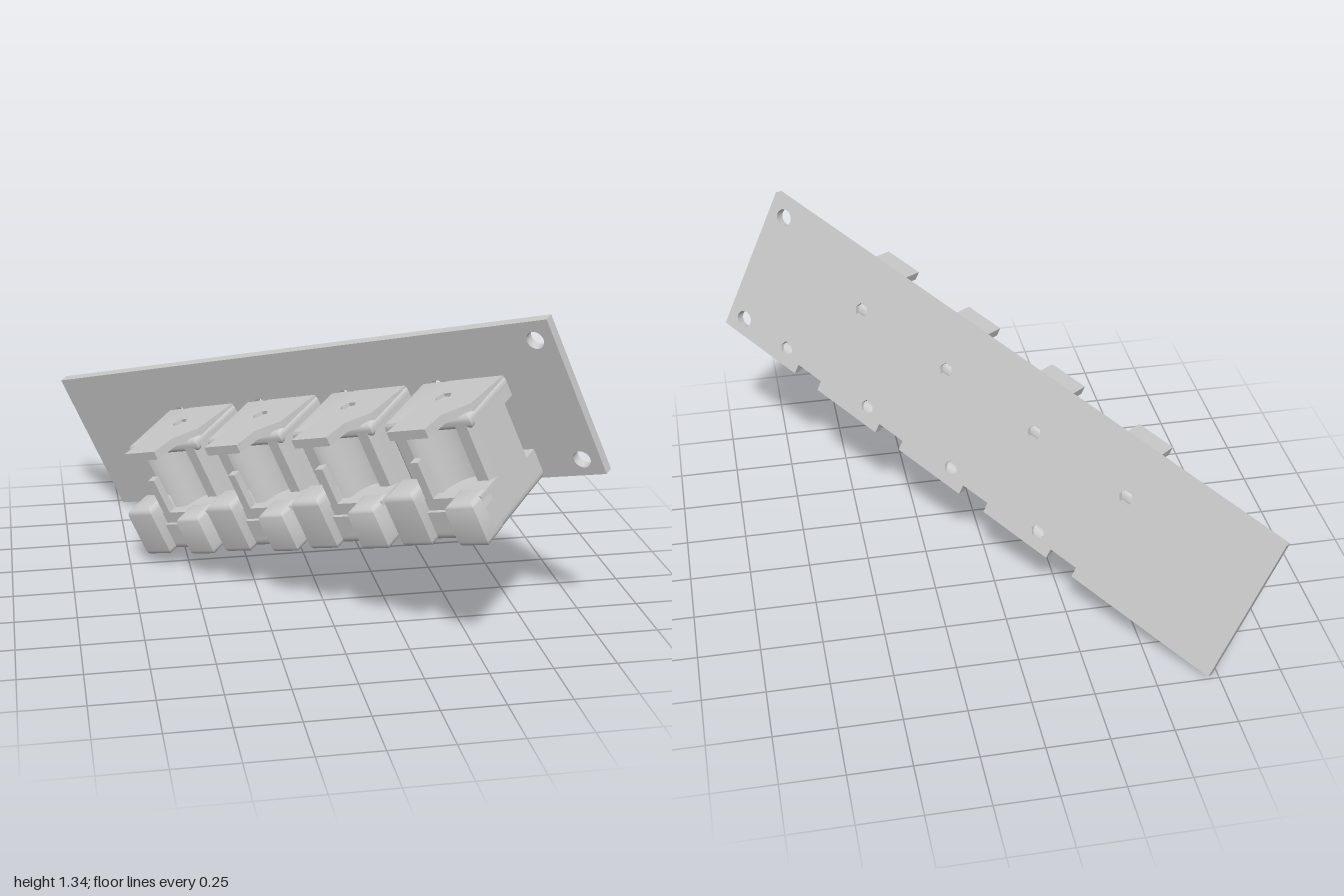
import * as THREE from 'three';
import { toCreasedNormals } from 'three/addons/utils/BufferGeometryUtils.js';

const material = new THREE.MeshStandardMaterial({ color: 0xcccccc });
const LENGTH = 2.6, WIDTH = 0.663, THICK = 0.038;
const LEFT = -0.187, RIGHT = 0.205, MID = 0.009; // holder sides and pocket centre
const POCKET_R = 0.14, POCKET_Z = 0.26;
const UNIT_CENTRES = [0, 1, 2, 3].map((i) => 0.745 + 0.46 * i);

function part(name, geometry) {
  const mesh = new THREE.Mesh(toCreasedNormals(geometry, 0.6), material);
  mesh.name = name;
  return mesh;
}

function ring(x, y, r, sides) {
  const pts = [];
  for (let i = 0; i < sides; i++) {
    const t = (i / sides) * Math.PI * 2;
    pts.push(new THREE.Vector2(x + r * Math.cos(t), y + r * Math.sin(t)));
  }
  return new THREE.Path(pts);
}

// Plan outline (across, outward) raised from height y0 to y1, optionally sloping up outward
function prism(name, outline, y0, y1, { holes = [], bevel = 0, slope = 0 } = {}) {
  const shape = new THREE.Shape(outline.map(([x, z]) => new THREE.Vector2(x, -z)));
  shape.holes.push(...holes);
  const geometry = new THREE.ExtrudeGeometry(shape, {
    depth: y1 - y0 - 2 * bevel, bevelEnabled: bevel > 0,
    bevelSize: bevel, bevelOffset: -bevel, bevelThickness: bevel, bevelSegments: 4,
  });
  geometry.rotateX(-Math.PI / 2).translate(0, y0 + bevel, 0);
  geometry.applyMatrix4(new THREE.Matrix4().set(1, 0, 0, 0, 0, 1, slope, 0, 0, 0, 1, 0, 0, 0, 0, 1));
  return part(name, geometry);
}

const rect = (x0, x1, z0, z1) => [[x0, z0], [x1, z0], [x1, z1], [x0, z1]];

// Outline open to the front, with a round pocket between two side walls
function openWalls(back, front) {
  const pts = [[LEFT, back], [RIGHT, back], [RIGHT, front - 0.025], [RIGHT - 0.025, front]];
  const start = Math.asin((front - POCKET_Z) / POCKET_R);
  for (let i = 0; i <= 24; i++) {
    const t = start - (i / 24) * (Math.PI + 2 * start);
    pts.push([MID + POCKET_R * Math.cos(t), POCKET_Z + POCKET_R * Math.sin(t)]);
  }
  pts.push([LEFT + 0.025, front], [LEFT, front - 0.025]);
  return pts;
}

// Closed outline with a tapered recess at the back
function footprint(back, front) {
  return [
    [LEFT, back], [-0.065, back], [-0.055, 0.11], [0.055, 0.11], [0.065, back], [RIGHT, back],
    [RIGHT, front - 0.02], [RIGHT - 0.02, front], [LEFT + 0.02, front], [LEFT, front - 0.02],
  ];
}

function backPlate() {
  const pts = [[0, 0]];
  // Small notches in the lower edge, one behind each holder
  for (const c of UNIT_CENTRES) {
    pts.push([c - 0.065, 0], [c - 0.065, 0.045], [c + 0.065, 0.045], [c + 0.065, 0]);
  }
  pts.push([LENGTH, 0], [LENGTH, WIDTH], [0, WIDTH]);
  const shape = new THREE.Shape(pts.map(([x, y]) => new THREE.Vector2(x, y)));
  for (const y of [0.07, 0.585]) shape.holes.push(ring(2.52, y, 0.036, 20));
  for (const c of UNIT_CENTRES) {
    shape.holes.push(ring(c + 0.148, 0.077, 0.031, 6), ring(c - 0.11, 0.437, 0.031, 6));
  }
  return part('backPlate', new THREE.ExtrudeGeometry(shape, { depth: THICK, bevelEnabled: false }));
}

function holder() {
  const g = new THREE.Group();
  g.name = 'holder';
  const pocket = () => [ring(MID, -POCKET_Z, POCKET_R, 32)];
  g.add(
    prism('floor', footprint(0.01, 0.455), 0, 0.08, { bevel: 0.03 }),
    prism('lowerBody', footprint(THICK, 0.455), 0.04, 0.13, { holes: pocket() }),
    prism('middleBody', rect(LEFT, RIGHT, 0.1, 0.44), 0.13, 0.18, { holes: pocket() }),
    prism('sideWalls', openWalls(0.1, 0.33), 0.18, 0.37),
    prism('upperWalls', openWalls(THICK, 0.33), 0.37, 0.43),
    prism('roof', rect(LEFT, RIGHT, 0.02, 0.33), 0.4, 0.455, { bevel: 0.02 }),
    prism('leftFrontBlock', rect(LEFT, -0.05, 0.36, 0.5), 0.005, 0.235, { bevel: 0.025 }),
    prism('rightFrontBlock', rect(0.075, RIGHT, 0.38, 0.505), 0, 0.185, { bevel: 0.025 }),
    prism('frontPost', rect(-0.045, -0.01, 0.405, 0.44), 0.17, 0.34),
    // Top tab with a hexagonal socket
    prism('topTab', [[-0.055, THICK], [0.2, THICK], [0.2, 0.28], [0.12, 0.36], [0.12, 0.48], [-0.055, 0.48]],
      0.415, 0.453, { holes: [ring(0.02, -0.19, 0.034, 6)], slope: 0.1 }),
  );
  return g;
}

export function createModel() {
  const model = new THREE.Group();
  model.name = 'holderRack';
  const rack = new THREE.Group();
  rack.name = 'rack';
  rack.add(backPlate());
  for (const c of UNIT_CENTRES) {
    const unit = holder();
    unit.position.x = c;
    rack.add(unit);
  }
  // The whole rack is turned and tilted in space
  rack.rotation.set(0, -Math.PI / 4, 0.402, 'ZYX');
  rack.position.set(-0.705, 0.01, -1);
  model.add(rack);
  return model;
}
